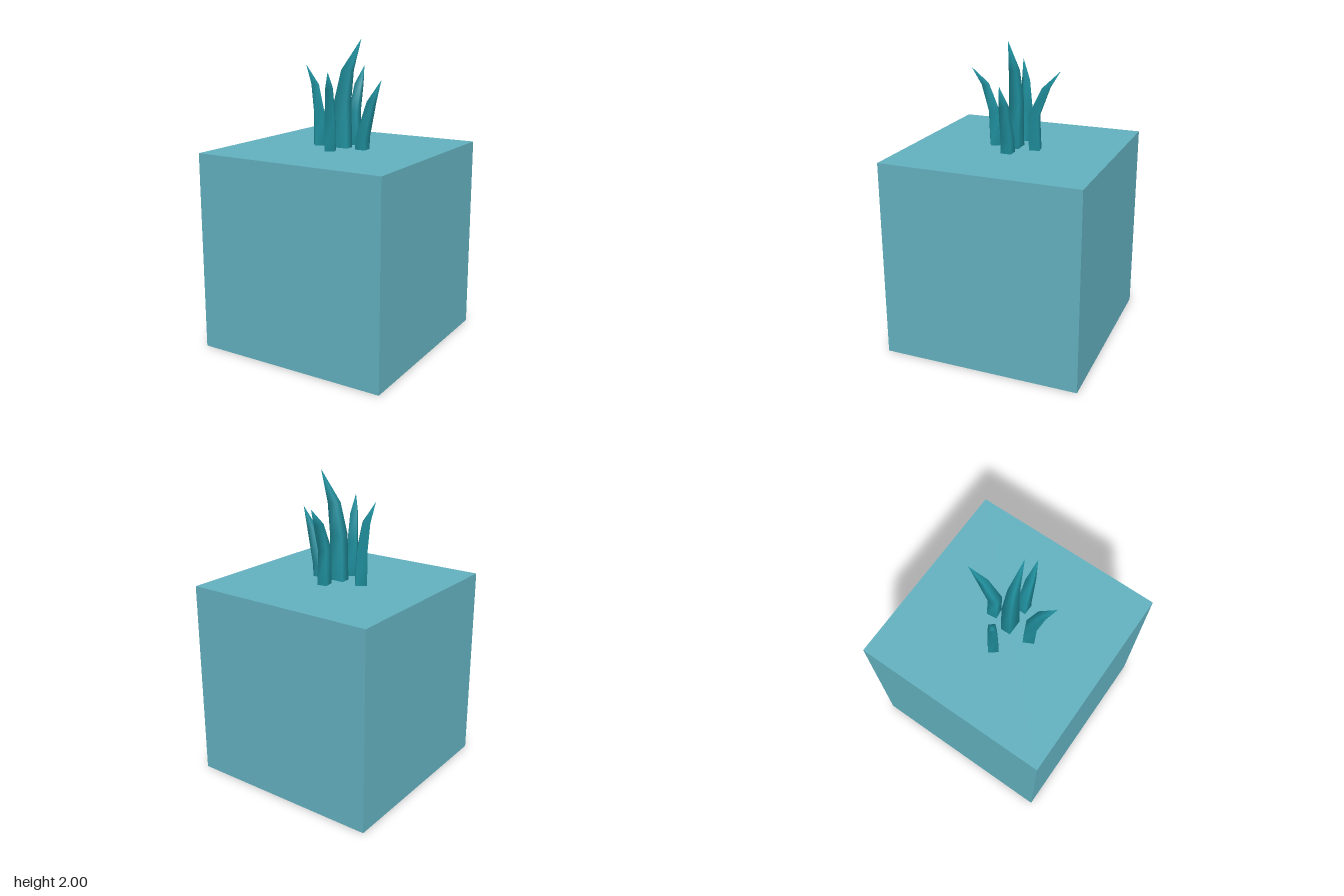
import * as THREE from 'three';

const BASE_Y = 1.3;

// Four-sided tapering blade; each level is [y, shift along lean, half depth, half width].
function bladeGeometry(levels, tip) {
  const pos = [], index = [];
  for (const [y, shift, d, w] of levels) {
    pos.push(shift + d, y, w, shift + d, y, -w, shift - d, y, -w, shift - d, y, w);
  }
  pos.push(tip[0], tip[1], 0);
  const last = levels.length - 1, tipIndex = levels.length * 4;
  for (let i = 0; i < 4; i++) {
    const j = (i + 1) % 4;
    for (let r = 0; r < last; r++) {
      const a = r * 4 + i, b = r * 4 + j;
      index.push(a, b, b + 4, a, b + 4, a + 4);
    }
    index.push(last * 4 + i, last * 4 + j, tipIndex);
  }
  const geometry = new THREE.BufferGeometry();
  geometry.setAttribute('position', new THREE.Float32BufferAttribute(pos, 3));
  geometry.setIndex(index);
  geometry.computeVertexNormals();
  return geometry;
}

export function createModel() {
  const group = new THREE.Group();
  const blockMaterial = new THREE.MeshStandardMaterial({ color: 0x62b0be });
  blockMaterial.name = 'paleTeal';
  const bladeMaterial = new THREE.MeshStandardMaterial({ color: 0x1f909e, side: THREE.DoubleSide });
  bladeMaterial.name = 'deepTeal';

  // Cube body
  const block = new THREE.Mesh(new THREE.BoxGeometry(1.3, BASE_Y, 1.3), blockMaterial);
  block.name = 'block';
  block.position.y = BASE_Y / 2;
  group.add(block);

  // Sprout of curved blades: heights are above the block, lean turns +x about y
  const blades = [
    { name: 'centreBlade', x: 0.007, z: 0, lean: 0, tip: [0.138, 0.7],
      levels: [[0, 0, 0.053, 0.033], [0.3, 0, 0.045, 0.033], [0.5, 0.036, 0.033, 0.024]] },
    { name: 'leftSideBlade', x: 0.155, z: 0, lean: 0, tip: [0.135, 0.45],
      levels: [[0, 0, 0.034, 0.034], [0.08, 0.003, 0.034, 0.034], [0.31, 0.065, 0.022, 0.025]] },
    { name: 'rightSideBlade', x: -0.171, z: -0.005, lean: -2.47, tip: [0.088, 0.53],
      levels: [[0, 0, 0.037, 0.033], [0.22, 0.005, 0.032, 0.028], [0.4, 0.03, 0.023, 0.02]] },
    { name: 'backBlade', x: 0.022, z: -0.135, lean: 1.71, tip: [0.157, 0.51],
      levels: [[0, 0, 0.034, 0.032], [0.22, -0.01, 0.034, 0.03], [0.4, 0.066, 0.024, 0.022]] },
    { name: 'frontBlade', x: 0.003, z: 0.145, lean: -1.1, tip: [0.151, 0.51],
      levels: [[0, 0, 0.036, 0.033], [0.22, 0.01, 0.034, 0.03], [0.4, 0.066, 0.024, 0.022]] },
  ];
  for (const b of blades) {
    const mesh = new THREE.Mesh(bladeGeometry(b.levels, b.tip), bladeMaterial);
    mesh.name = b.name;
    mesh.position.set(b.x, BASE_Y, b.z);
    mesh.rotation.y = b.lean;
    group.add(mesh);
  }
  return group;
}
